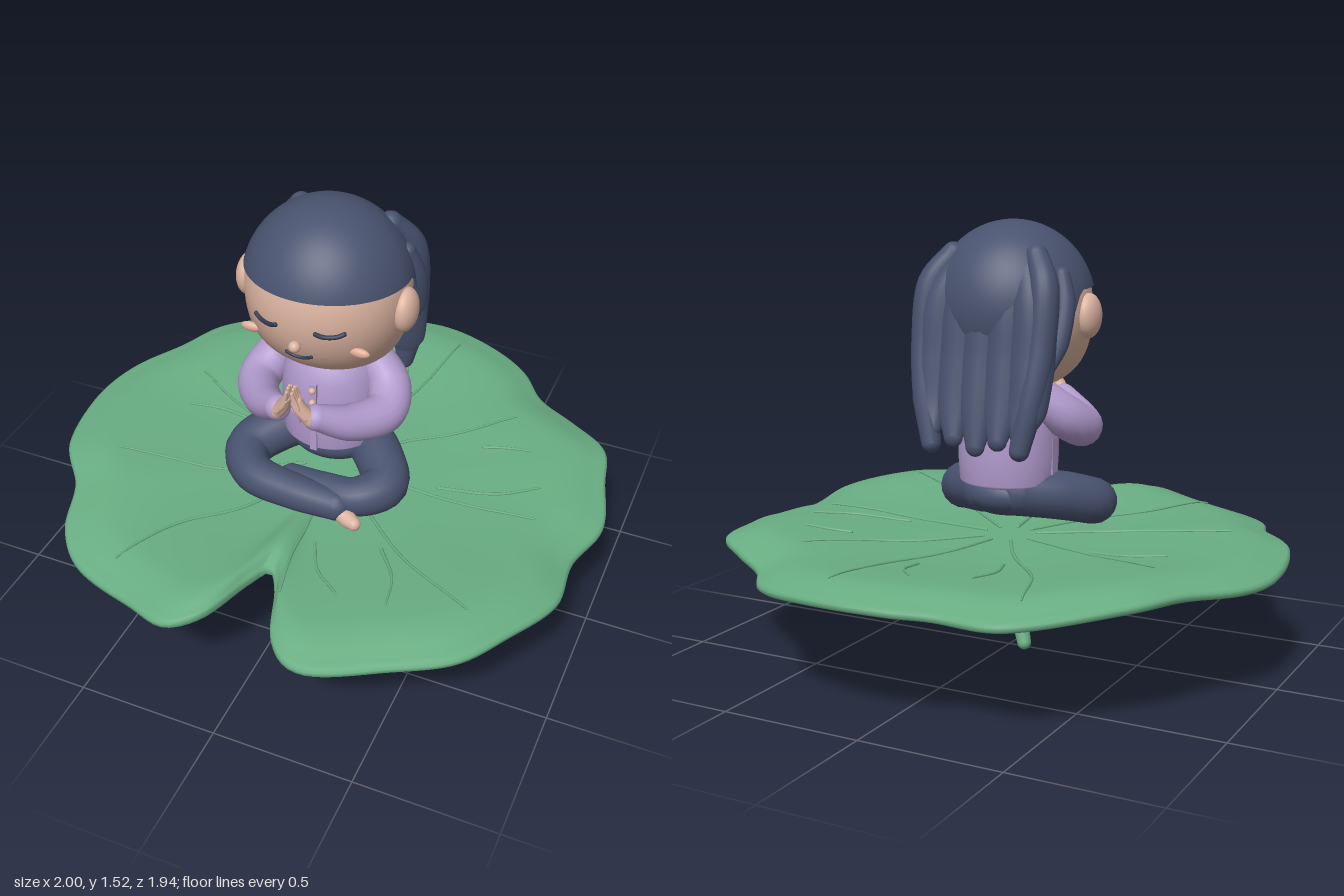
import * as THREE from 'three';
import { mergeGeometries } from 'three/addons/utils/BufferGeometryUtils.js';

const V = (x, y, z) => new THREE.Vector3(x, y, z);
const { smoothstep, lerp } = THREE.MathUtils;

function material(name, color) {
  const m = new THREE.MeshStandardMaterial({ color });
  m.name = name;
  return m;
}

// Tube through [x, y, z, radius] points with rounded ends; flat squashes its depth
function limb(pts, flat = 1, segs = 32, sides = 18) {
  const curve = new THREE.CatmullRomCurve3(pts.map(p => V(p[0], p[1], p[2])));
  const tube = new THREE.TubeGeometry(curve, segs, 1, sides);
  const pos = tube.attributes.position;
  for (let i = 0; i <= segs; i++) {
    const c = curve.getPointAt(i / segs);
    const t = curve.getUtoTmapping(i / segs) * (pts.length - 1);
    const k = Math.min(Math.floor(t), pts.length - 2);
    const r = lerp(pts[k][3], pts[k + 1][3], t - k);
    for (let j = 0; j <= sides; j++) {
      const n = i * (sides + 1) + j;
      pos.setXYZ(n, c.x + (pos.getX(n) - c.x) * r, c.y + (pos.getY(n) - c.y) * r,
        c.z + (pos.getZ(n) - c.z) * r * flat);
    }
  }
  const caps = [pts[0], pts[pts.length - 1]].map(([x, y, z, r]) =>
    new THREE.SphereGeometry(r, sides, 10).scale(1, 1, flat).translate(x, y, z));
  return mergeGeometries([tube, ...caps]);
}

const ball = (x, y, z, rx, ry = rx, rz = rx) =>
  new THREE.SphereGeometry(1, 32, 20).scale(rx, ry, rz).translate(x, y, z);

// Head shape, slightly fuller in the jaw
const HEAD = { x: 0.01, y: 1.225, z: 0.05, rx: 0.28, ry: 0.295, rz: 0.275 };
const jaw = ny => (ny < 0 ? 1 + 0.4 * ny * ny * (1 + ny * 0.3) : 1);
function faceZ(x, y) {
  const ny = (y - HEAD.y) / HEAD.ry, nx = (x - HEAD.x) / (HEAD.rx * jaw(ny));
  return HEAD.z + HEAD.rz * Math.sqrt(Math.max(0, 1 - ny * ny - nx * nx));
}

// Leaf outline (x, z), clockwise from the back, with the notch at the front
const OUTLINE = [[.11, -.98], [.35, -.92], [.48, -.84], [.59, -.70], [.75, -.59], [.90, -.47], [.95, -.29],
  [1, -.08], [.95, .13], [.96, .37], [.86, .59], [.75, .75], [.54, .86], [.32, .96], [.24, .95], [.16, .87],
  [.08, .67], [.03, .60], [-.01, .68], [-.09, .89], [-.18, .96], [-.34, .91], [-.61, .80], [-.73, .67],
  [-.80, .48], [-.94, .29], [-1, -.05], [-.96, -.24], [-.84, -.43], [-.75, -.61], [-.48, -.86], [-.40, -.90],
  [-.21, -.91], [-.08, -.96]];
const RIM = new THREE.CatmullRomCurve3(OUTLINE.map(([x, z]) => V(x, 0, z)), true).getSpacedPoints(220).slice(0, 220);

// Height of the leaf's top, at fraction s of the way to rim point p
function leafY(s, p) {
  const wave = -0.014 * Math.sin(6 * Math.atan2(p.z, p.x) + 1) - 0.015 * p.x + 0.05 * p.x * Math.max(0, p.z);
  return 0.41 + 0.03 * smoothstep(s, 0.35, 0.85) - 0.035 * smoothstep(s, 0.85, 1) + wave * s ** 3;
}
// Underside: a shallow bowl meeting the rim
const leafUnderY = (s, p) => lerp(0.3, leafY(s, p) - 0.03, smoothstep(s, 0.1, 0.99));
function leafYAt(x, z) {
  const d = V(x, 0, z), r = d.length();
  const rim = RIM.reduce((b, p) => (p.angleTo(d) < b.angleTo(d) ? p : b));
  return leafY(Math.min(1, r / rim.length()), rim);
}
function leafGeometry() {
  const levels = [0, .1, .2, .3, .4, .5, .6, .7, .8, .87, .93, .97, .99];
  const section = [...levels.map(s => [s, leafY, 0]), [1, leafY, -.008], [1, leafY, -.022],
    ...levels.slice().reverse().map(s => [s, leafUnderY, 0])];
  const pos = [], idx = [], n = RIM.length;
  for (const [s, height, dy] of section)
    for (const p of RIM) pos.push(p.x * s, height(s, p) + dy, p.z * s);
  for (let j = 0; j < section.length - 1; j++)
    for (let i = 0; i < n; i++) {
      const k = (i + 1) % n, a = j * n + i, b = a + n, c = (j + 1) * n + k, d = j * n + k;
      idx.push(a, c, b, a, d, c);
    }
  const g = new THREE.BufferGeometry();
  g.setAttribute('position', new THREE.Float32BufferAttribute(pos, 3));
  g.setIndex(idx);
  g.computeVertexNormals();
  return g;
}

export function createModel() {
  const model = new THREE.Group();
  const skin = material('skin', 0xdbb3a0), navy = material('navy', 0x48526e);
  const lilac = material('lilac', 0xb29bce), green = material('leaf green', 0x69ae83);
  const ink = material('dark navy', 0x30384f), blush = material('blush', 0xe0ac96);
  navy.side = THREE.DoubleSide;
  const add = (name, geometry, mat) => {
    const m = new THREE.Mesh(geometry, mat);
    m.name = name;
    model.add(m);
    return m;
  };

  // Leaf, stem and veins
  add('leaf', leafGeometry(), green);
  add('stem', limb([[.01, .31, .02, .035], [.01, .275, .02, .045], [.008, .25, .015, .022], [-.015, .215, .01, .037],
    [-.045, .12, -.01, .032], [-.075, .025, -.03, .025]]), green);
  const longVeins = [[-.43, -.75, -.34, -.5, -.14, -.24], [.2, -.84, .15, -.54, .06, -.27],
    [.55, -.49, .38, -.33, .22, -.22], [.78, .03, .56, .045, .32, .03], [.71, .56, .44, .4, .26, .24],
    [.12, .71, .08, .53, .06, .36], [-.47, .76, -.35, .53, -.18, .35], [-.73, .27, -.55, .24, -.34, .2],
    [-.66, -.27, -.48, -.17, -.26, -.09]];
  const shortVeins = [[-.18, -.6, -.2, -.48, -.17, -.37], [0, -.69, .06, -.62, .07, -.52],
    [.66, -.31, .57, -.3, .49, -.28], [.75, -.13, .62, -.05, .41, -.01], [.46, .63, .43, .5, .34, .37],
    [.29, .64, .19, .56, .12, .43], [-.63, -.08, -.5, -.11, -.36, -.1]];
  const vein = (v, isLong) => {
    const flat = [V(v[0], 0, v[1]), V(v[2], 0, v[3]), V(v[4], 0, v[5])];
    if (isLong) flat.push(flat[2].clone().setLength(0.1));
    const path = new THREE.CatmullRomCurve3(flat).getSpacedPoints(16);
    add('vein', limb(path.map((p, i) => [p.x, leafYAt(p.x, p.z) + 0.002, p.z, 0.004 + 0.003 * i / 16]), 1, 32, 6), green);
  };
  longVeins.forEach(v => vein(v, true));
  shortVeins.forEach(v => vein(v, false));

  // Shirt body, placket, buttons, pockets
  const profile = [[0, .61], [.165, .605], [.175, .615], [.18, .7], [.18, .8], [.17, .88], [.145, .94], [.1, .98], [0, 1]]
    .map(([r, y]) => new THREE.Vector2(r, y));
  add('shirt', new THREE.LatheGeometry(profile, 48).scale(1, 1, 0.95).translate(.01, 0, .012), lilac);
  add('placket', new THREE.BoxGeometry(.024, .28, .012).translate(.01, .75, .183), lilac);
  for (const y of [.73, .775, .82, .87]) add('button', ball(.01, y, .194, .012), skin);
  for (const s of [-1, 1]) {
    const flap = add('pocketFlap', new THREE.BoxGeometry(.085, .022, .01), lilac);
    flap.position.set(.01 + s * .085, .73, .167);
    flap.rotation.set(0, s * .48, s * .15);
    add('sideTab', new THREE.BoxGeometry(.01, .15, .04).translate(.01 + s * .176, .7, .015), lilac);
  }

  // Arms and praying hands, mirrored about x = 0.01
  for (const s of [-1, 1]) {
    const X = x => .01 + s * x;
    add('sleeve', limb([[X(.13), .93, -.02, .065], [X(.215), .85, .03, .076], [X(.235), .805, .12, .074],
      [X(.16), .82, .24, .064], [X(.07), .87, .32, .045]]), lilac);
    add('palm', limb([[X(.06), .87, .34, .024], [X(.035), .91, .35, .024], [X(.02), .945, .353, .015]], 1.1), skin);
    for (let i = 0; i < 4; i++) {
      const z = .336 + i * .012;
      add('finger', limb([[X(.028), .93, z, .009], [X(.014), .965, z + .002, .009],
        [X(.009), 1.002 - Math.abs(i - 1.4) * .009, z + .003, .006]], 1, 8, 8), skin);
    }
    add('thumb', limb([[X(.05), .89, .365, .011], [X(.025), .925, .375, .01], [X(.013), .95, .376, .007]], 1, 8, 8), skin);
  }

  // Hips, crossed legs and feet
  add('hips', ball(.01, .57, .0, .165, .085, .14), navy);
  add('leftLeg', limb([[.08, .58, -.04, .085], [.2, .56, .06, .088], [.27, .525, .17, .084], [.2, .505, .245, .07],
    [.06, .495, .24, .058], [-.06, .485, .22, .05]]), navy);
  add('rightLeg', limb([[-.06, .58, -.04, .085], [-.18, .56, .06, .088], [-.25, .525, .17, .084],
    [-.19, .505, .265, .072], [-.02, .495, .295, .065], [.14, .488, .295, .056]]), navy);
  add('rightFoot', limb([[.16, .472, .31, .028], [.2, .465, .325, .031], [.225, .461, .335, .024]]), skin);
  add('leftFoot', limb([[-.06, .475, .21, .03], [-.13, .468, .2, .03]]), skin);

  // Head and ears
  const head = new THREE.SphereGeometry(1, 48, 32), hp = head.attributes.position;
  for (let i = 0; i < hp.count; i++) hp.setX(i, hp.getX(i) * jaw(hp.getY(i)));
  head.scale(HEAD.rx, HEAD.ry, HEAD.rz).translate(HEAD.x, HEAD.y, HEAD.z);
  add('head', head, skin);
  for (const s of [-1, 1]) add('ear', ball(.01 + s * .28, 1.2, .07, .042, .078, .066), skin);

  // Face
  const faceLine = (name, pts, r) => add(name, limb(pts.map(([x, y]) => [x, y, faceZ(x, y) + .003, r]), 1, 16, 8), ink);
  for (const s of [-1, 1]) {
    const x = .01 + s * .112;
    faceLine('closedEye', [[x - .042, 1.202], [x - .02, 1.193], [x + .02, 1.193], [x + .042, 1.202]], .008);
    add('cheek', ball(.01 + s * .192, 1.118, .248, .036, .017, .014), blush);
  }
  faceLine('mouth', [[-.034, 1.09], [-.01, 1.079], [.03, 1.079], [.054, 1.09]], .006);
  add('nose', ball(.01, 1.14, .327, .02), skin);

  // Hair cap: straight fringe at the front, lower at the back
  const cap = new THREE.SphereGeometry(1, 64, 28, 0, Math.PI * 2, 0, Math.PI / 2), cp = cap.attributes.position;
  for (let i = 0; i < cp.count; i++) {
    const az = Math.atan2(cp.getX(i), cp.getZ(i));
    const edge = lerp(1.34, 2.2, smoothstep(-Math.cos(az), 0.1, 0.65)) - .06 * Math.max(0, Math.cos(az));
    const polar = Math.acos(Math.min(1, cp.getY(i))) / (Math.PI / 2) * edge;
    cp.setXYZ(i, Math.sin(polar) * Math.sin(az), Math.cos(polar), Math.sin(polar) * Math.cos(az));
    cap.attributes.normal.setXYZ(i, cp.getX(i), cp.getY(i), cp.getZ(i));
  }
  cap.scale(.29, .3, .284).translate(HEAD.x, HEAD.y, HEAD.z);
  add('hairCap', cap, navy);

  // Long back hair
  for (const x of [-.17, -.085, 0, .085, .17]) {
    const low = .77 + Math.abs(x) * .3;
    add('backLock', limb([[.01 + x * .7, 1.38, -.09, .06], [.01 + x, 1.25, -.145, .09], [.01 + x * 1.05, 1.05, -.18, .09],
      [.01 + x * 1.05, .9, -.21, .075], [.01 + x, low, -.235, .035]], .7), navy);
  }
  for (const s of [-1, 1]) {
    add('sideLock', limb([[.01 + s * .235, 1.345, -.05, .028], [.01 + s * .258, 1.25, -.075, .036],
      [.01 + s * .255, 1.12, -.115, .034], [.01 + s * .23, 1.02, -.145, .014]]), navy);
    add('outerLock', limb([[.01 + s * .16, 1.41, -.09, .04], [.01 + s * .215, 1.31, -.145, .05],
      [.01 + s * .22, 1.1, -.185, .05], [.01 + s * .2, .92, -.22, .045], [.01 + s * .17, .77, -.238, .035]]), navy);
  }
  return model;
}
